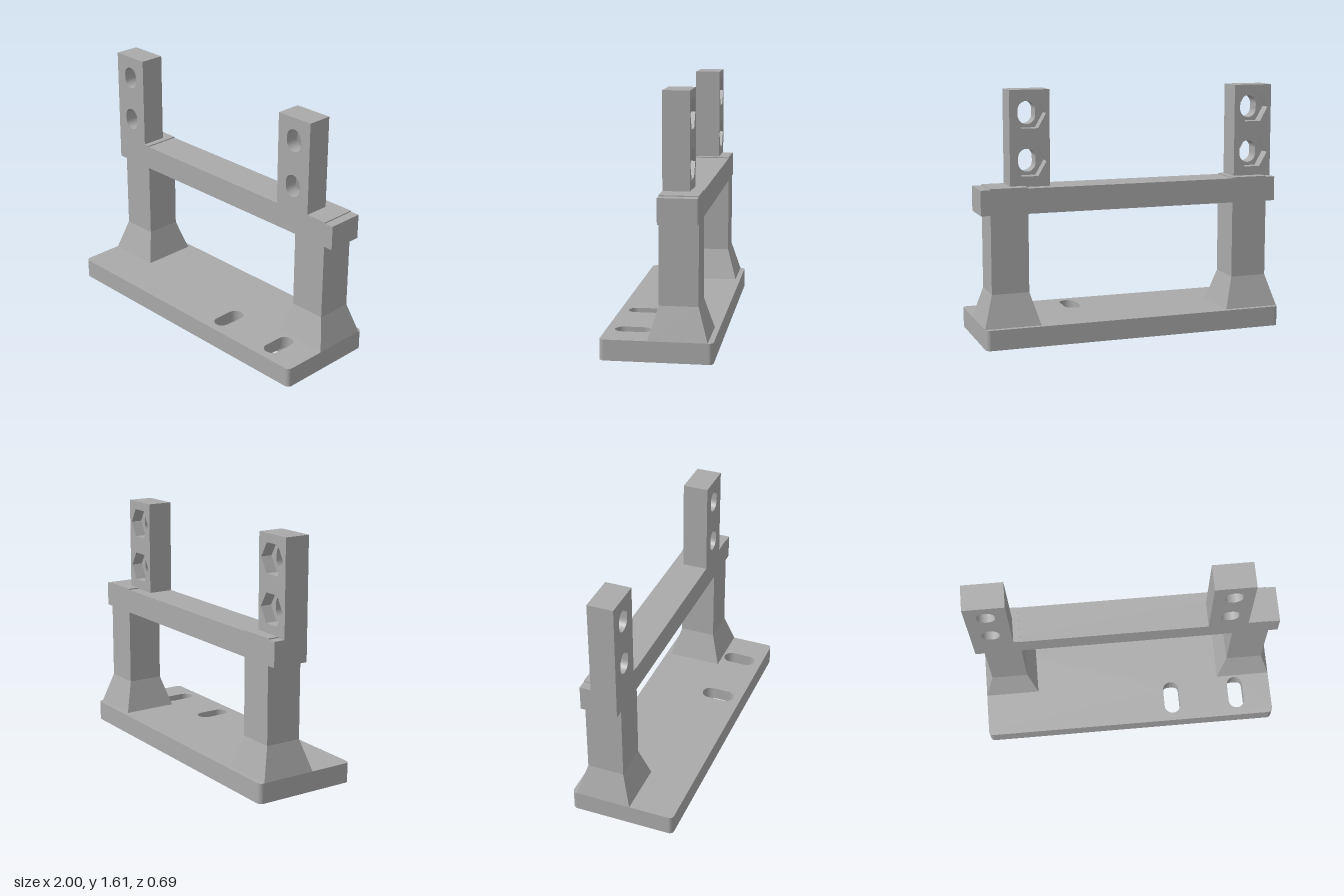
import * as THREE from 'three';

const grey = new THREE.MeshStandardMaterial({ color: 0xaaaaaa });
grey.name = 'grey plastic';

function add(group, name, geometry) {
  const mesh = new THREE.Mesh(geometry, grey);
  mesh.name = name;
  group.add(mesh);
  return mesh;
}

// Box given by its limits on each axis
function block(x0, x1, y0, y1, z0, z1) {
  return new THREE.BoxGeometry(x1 - x0, y1 - y0, z1 - z0)
    .translate((x0 + x1) / 2, (y0 + y1) / 2, (z0 + z1) / 2);
}

// Upright slot with round ends: half width r, half length h
function slot(cx, cy, r, h) {
  const p = new THREE.Path();
  p.absarc(cx, cy + h - r, r, 0, Math.PI);
  p.absarc(cx, cy - h + r, r, Math.PI, Math.PI * 2);
  p.closePath();
  return p;
}

function ellipse(cx, cy, a, b) {
  return new THREE.Path().absellipse(cx, cy, a, b, 0, Math.PI * 2);
}

// Hexagon with corners to the left and right
function hexagon(cx, cy, r) {
  const points = [];
  for (let i = 0; i < 6; i++) {
    const a = (i * Math.PI) / 3;
    points.push(new THREE.Vector2(cx + r * Math.cos(a), cy + r * Math.sin(a)));
  }
  return new THREE.Path(points);
}

function extrude(shape, holes, depth) {
  shape.holes.push(...holes);
  return new THREE.ExtrudeGeometry(shape, { depth, bevelEnabled: false, curveSegments: 16 });
}

function roundedRect(w, d, r) {
  const s = new THREE.Shape();
  s.absarc(w - r, d - r, r, 0, Math.PI / 2);
  s.absarc(-w + r, d - r, r, Math.PI / 2, Math.PI);
  s.absarc(-w + r, -d + r, r, Math.PI, Math.PI * 1.5);
  s.absarc(w - r, -d + r, r, Math.PI * 1.5, Math.PI * 2);
  s.closePath();
  return s;
}

function rect(x0, x1, y0, y1) {
  return new THREE.Shape([[x0, y0], [x1, y0], [x1, y1], [x0, y1]]
    .map(([x, y]) => new THREE.Vector2(x, y)));
}

export function createModel() {
  const model = new THREE.Group();
  model.name = 'mountingBracket';

  // Base plate: through slots above, wider recesses below
  const base = new THREE.Group();
  base.name = 'base';
  model.add(base);
  const slotX = [0.3, 0.755];
  const recess = 0.045;
  const thick = 0.13;
  const lower = extrude(roundedRect(1, 0.345, 0.03),
    slotX.map((x) => ellipse(x, -0.178, 0.145, 0.115)), recess);
  const upper = extrude(roundedRect(1, 0.345, 0.03),
    slotX.map((x) => slot(x, -0.178, 0.054, 0.113)), thick - recess);
  add(base, 'baseLower', lower.rotateX(-Math.PI / 2));
  add(base, 'baseUpper', upper.rotateX(-Math.PI / 2).translate(0, recess, 0));

  // Legs with flared feet and thin caps over the beam
  for (const side of [-1, 1]) {
    const leg = new THREE.Group();
    leg.name = side > 0 ? 'leftLeg' : 'rightLeg';
    leg.position.x = side * 0.818;
    model.add(leg);
    add(leg, 'post', block(-0.121, 0.121, 0.335, 0.836, -0.25, -0.01));
    add(leg, 'cap', block(-0.121, 0.121, 0.996, 1.003, -0.25, -0.01));

    const foot = new THREE.BoxGeometry(0.364, 0.205, 0.364);
    const pos = foot.attributes.position;
    for (let i = 0; i < pos.count; i++) {
      if (pos.getY(i) > 0) {
        pos.setX(i, Math.sign(pos.getX(i)) * 0.121);
        pos.setZ(i, Math.sign(pos.getZ(i)) * 0.12);
      }
    }
    foot.computeVertexNormals();
    add(leg, 'flaredFoot', foot.translate(0, 0.2325, -0.13));
  }

  // Cross beam
  add(model, 'beam', block(-1, 1, 0.836, 0.996, -0.25, -0.01));

  // Uprights: bolt slots in front, hexagonal nut pockets behind
  const holeY = [1.155, 1.457];
  const back = -0.177, front = -0.01, pocket = 0.075;
  for (const [name, x0, x1] of [['rightUpright', -1, -0.737], ['leftUpright', 0.533, 0.793]]) {
    const upright = new THREE.Group();
    upright.name = name;
    model.add(upright);
    const cx = (x0 + x1) / 2;
    const frontHalf = extrude(rect(x0, x1, 0.996, 1.606),
      holeY.map((y) => slot(cx, y, 0.057, 0.073)), front - back - pocket);
    const backHalf = extrude(rect(x0, x1, 0.996, 1.606),
      holeY.map((y) => hexagon(cx, y, 0.108)), pocket);
    add(upright, 'boltSide', frontHalf.translate(0, 0, back + pocket));
    add(upright, 'nutSide', backHalf.translate(0, 0, back));
  }

  return model;
}
